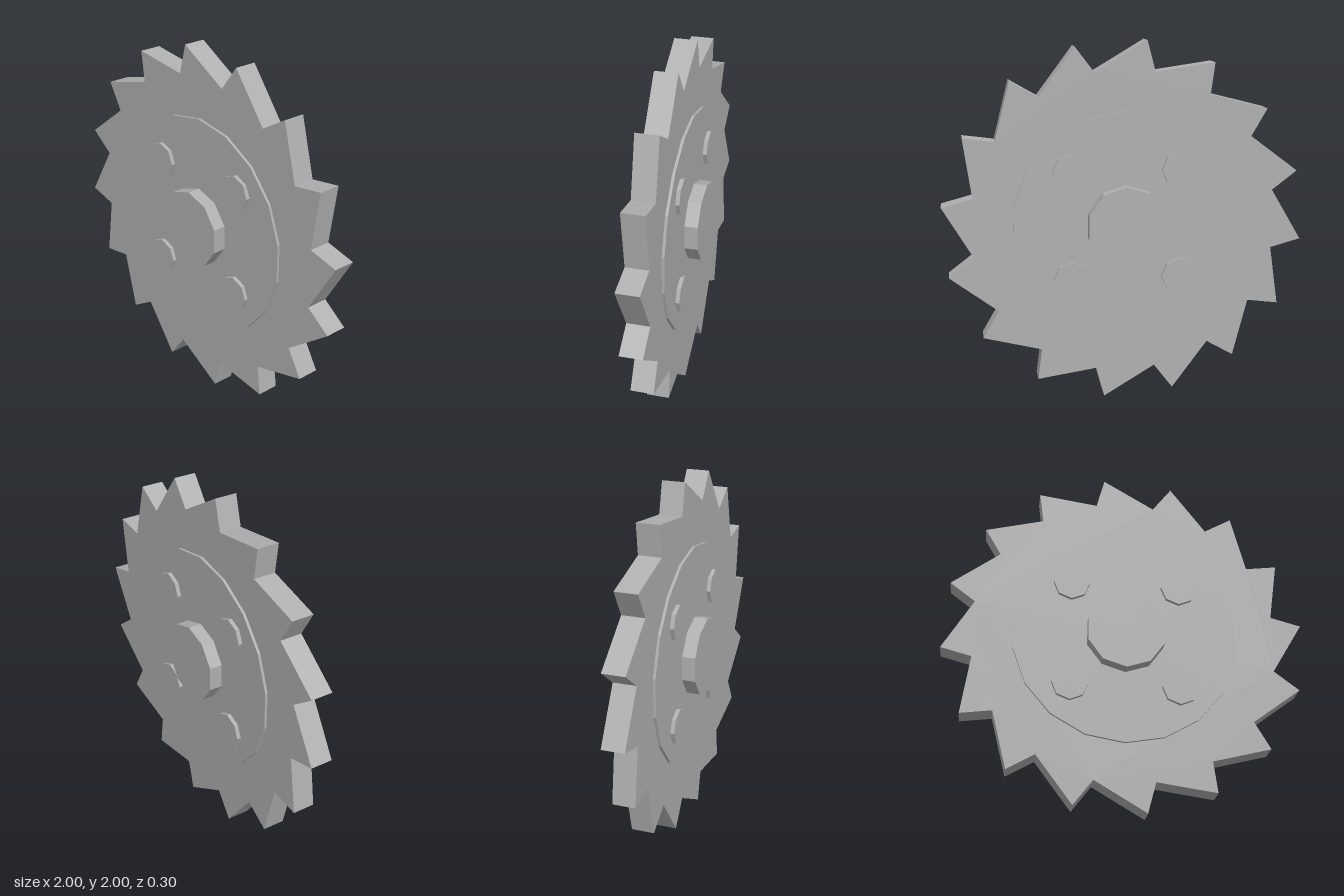
import * as THREE from 'three';

const TEETH = 16, TIP_RADIUS = 1.006, ROOT_RADIUS = 0.846, BLADE_DEPTH = 0.126;

export function createModel() {
  const steel = new THREE.MeshStandardMaterial({ color: 0xb0b0b0 });
  steel.name = 'steel grey';
  const model = new THREE.Group();
  model.name = 'sawBlade';

  const add = (name, geometry, x = 0, y = 0) => {
    const flat = geometry.index ? geometry.toNonIndexed() : geometry;
    flat.computeVertexNormals(); // faceted sides
    const mesh = new THREE.Mesh(flat, steel);
    mesh.name = name;
    mesh.position.set(x, y + 1, 0);
    model.add(mesh);
  };

  // Many-sided disc lying along z, showing on both faces of the blade
  const disc = (radius, depth, sides) =>
    new THREE.CylinderGeometry(radius, radius, depth, sides).rotateX(Math.PI / 2);

  // Toothed blade: leaning tips alternate with evenly spaced roots
  const points = [];
  for (let i = 0; i < TEETH; i++) {
    const step = (i * 2 * Math.PI) / TEETH;
    for (const [radius, degrees] of [[TIP_RADIUS, 6.87], [ROOT_RADIUS, 11.25]]) {
      const a = step + THREE.MathUtils.degToRad(degrees);
      points.push(new THREE.Vector2(radius * Math.cos(a), radius * Math.sin(a)));
    }
  }
  const blade = new THREE.ExtrudeGeometry(new THREE.Shape(points), {
    depth: BLADE_DEPTH, bevelEnabled: false,
  }).translate(0, 0, -BLADE_DEPTH / 2);
  add('toothedBlade', blade);

  // Raised flange and central hub
  add('flange', disc(0.622, 0.156, 18));
  add('hub', disc(0.22, 0.304, 10));

  // Four bolts around the hub
  for (const x of [-0.3, 0.3]) {
    for (const y of [-0.3, 0.3]) add('bolt', disc(0.1, 0.2, 8), x, y);
  }
  return model;
}
